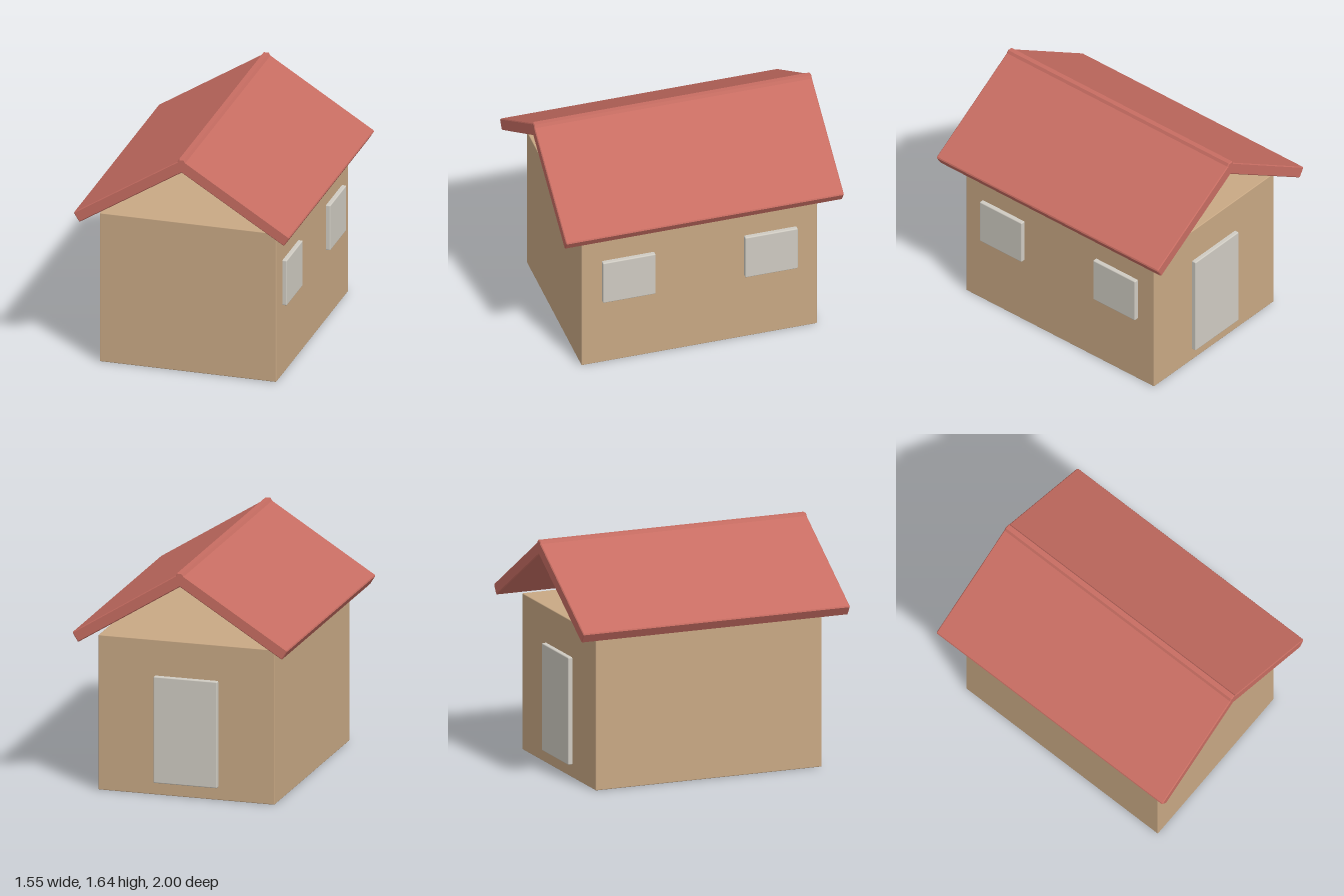
import * as THREE from 'three';
import { RoundedBoxGeometry } from 'three/addons/geometries/RoundedBoxGeometry.js';

function material(name, color) {
  const m = new THREE.MeshStandardMaterial({ color });
  m.name = name;
  return m;
}

export function createModel() {
  const wallTan = material('wall tan', 0xc8a884);
  const roofRed = material('roof red', 0xc76d62);
  const paleGrey = material('pale grey', 0xcfcbc2);

  const house = new THREE.Group();
  house.name = 'house';

  // Softly bevelled block, placed by its centre
  function block(name, mat, [w, h, d], [x, y, z], bevel) {
    const mesh = new THREE.Mesh(new RoundedBoxGeometry(w, h, d, 2, bevel), mat);
    mesh.name = name;
    mesh.position.set(x, y, z);
    house.add(mesh);
  }

  const halfW = 0.636, wallH = 1.108, halfD = 0.848;

  // Closed body
  block('walls', wallTan, [halfW * 2, wallH, halfD * 2], [0, wallH / 2, 0], 0.006);

  // Two windows on the left wall, door on the back wall
  block('frontWindow', paleGrey, [0.062, 0.337, 0.38], [halfW, 0.684, 0.512], 0.008);
  block('backWindow', paleGrey, [0.062, 0.337, 0.38], [halfW, 0.684, -0.512], 0.008);
  block('door', paleGrey, [0.46, 0.762, 0.062], [0, 0.471, -halfD], 0.008);

  // Gabled roof: half profile from the inner apex round the eave to the ridge, mirrored
  const half = [
    [0.728, 1.092], [0.738, 1.09], [0.775, 1.149], [0.771, 1.159],
    [0.03, 1.624], [0.018, 1.644],
  ];
  const profile = [[0, 1.545], ...half, ...half.map(([x, y]) => [-x, y]).reverse()];
  const shape = new THREE.Shape(profile.map(([x, y]) => new THREE.Vector2(x, y)));
  const bevel = 0.006;
  const roofGeometry = new THREE.ExtrudeGeometry(shape, {
    depth: 2 - 2 * bevel,
    bevelEnabled: true,
    bevelThickness: bevel,
    bevelSize: bevel,
    bevelOffset: -bevel,
    bevelSegments: 1,
  });
  roofGeometry.translate(0, 0, -1 + bevel);
  const roof = new THREE.Mesh(roofGeometry, roofRed);
  roof.name = 'roof';
  house.add(roof);

  return house;
}
